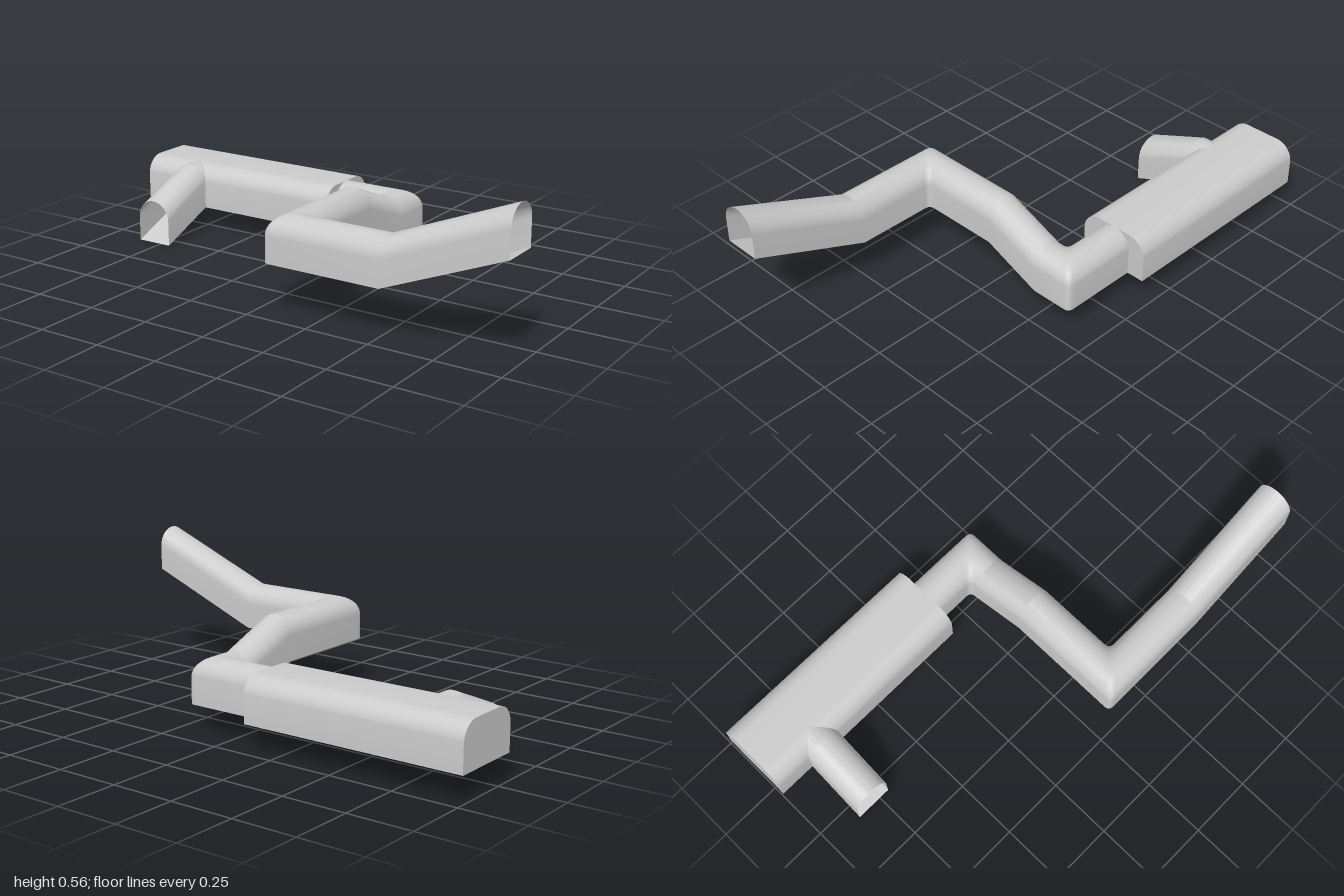
import * as THREE from 'three';
import { toCreasedNormals } from 'three/addons/utils/BufferGeometryUtils.js';

const WALL = 0.1, RADIUS = 0.0735;      // wall height and vault radius
const material = new THREE.MeshStandardMaterial({ color: 0xcccccc, side: THREE.DoubleSide });

// Flat floor, straight walls, round shoulders; a half-width equal to RADIUS gives a full arch
function archSection(halfWidth) {
  const flat = halfWidth - RADIUS, pts = [[-halfWidth, 0]], n = 12;
  for (const side of [-1, 1]) {
    for (let i = 0; i <= n; i++) {
      if (side === 1 && i === 0 && flat < 1e-6) continue;
      const a = (side === -1 ? i : n - i) / n * Math.PI / 2;
      pts.push([side * (flat + RADIUS * Math.cos(a)), WALL + RADIUS * Math.sin(a)]);
    }
  }
  pts.push([halfWidth, 0]);
  return pts;
}

// Upright cross-sections along the path, mitred in plan with slightly eased corners
function pathRings(path) {
  const rings = [];
  const heading = i => new THREE.Vector3(path[i + 1][0] - path[i][0], 0, path[i + 1][2] - path[i][2]).normalize();
  path.forEach((p, i) => {
    const point = new THREE.Vector3(...p);
    const dIn = heading(Math.max(i - 1, 0));
    const dOut = heading(Math.min(i, path.length - 2));
    const across = new THREE.Vector3(-dIn.z - dOut.z, 0, dIn.x + dOut.x).divideScalar(1 + dIn.dot(dOut));
    const steps = dIn.dot(dOut) < 0.99 ? 8 : 0, ease = 0.025;
    for (let k = 0; k <= steps; k++) {
      const centre = point.clone();
      if (steps) {
        const t = k / steps;
        centre.addScaledVector(dIn, -ease * (1 - t) ** 2).addScaledVector(dOut, ease * t ** 2);
      }
      rings.push({ centre, across });
    }
  });
  return rings;
}

// Open-ended passage swept along a path of floor centre points
function passage(name, path) {
  const section = archSection(RADIUS), count = section.length;
  const rings = pathRings(path), position = [], index = [];
  rings.forEach(({ centre, across }, i) => {
    section.forEach(([s, h], j) => {
      position.push(centre.x + across.x * s, centre.y + h, centre.z + across.z * s);
      if (i === rings.length - 1) return;
      const next = (j + 1) % count;
      const a = i * count + j, b = i * count + next;
      index.push(a, b, a + count, b, b + count, a + count);
    });
  });
  const geometry = new THREE.BufferGeometry();
  geometry.setAttribute('position', new THREE.Float32BufferAttribute(position, 3));
  geometry.setIndex(index);
  const mesh = new THREE.Mesh(toCreasedNormals(geometry, 0.36), material);
  mesh.name = name;
  return mesh;
}

export function createModel() {
  const model = new THREE.Group();
  model.name = 'tunnelSystem';

  // Long closed chamber with rounded shoulders
  const shape = new THREE.Shape(archSection(0.145).map(p => new THREE.Vector2(...p)));
  const hall = new THREE.ExtrudeGeometry(shape, { depth: 0.885, bevelEnabled: false });
  hall.rotateY(Math.PI / 2);
  const chamber = new THREE.Mesh(toCreasedNormals(hall, 0.36), material);
  chamber.name = 'chamber';
  chamber.position.set(-1, 0.1, -0.329);
  model.add(chamber);

  // Winding passage: out of the chamber, up a ramp, round a corner and up again
  model.add(passage('mainPassage', [
    [-0.115, 0.1, -0.329], [0.128, 0.1, -0.329], [0.128, 0.1, -0.23], [0.128, 0.196, 0.005],
    [0.128, 0.196, 0.4], [0.525, 0.196, 0.4], [1, 0.386, 0.4],
  ]));

  // Short side passage sloping down to the front
  model.add(passage('sidePassage', [
    [-0.78, 0.1, -0.26], [-0.78, 0.1, -0.182], [-0.78, 0.002, 0.06],
  ]));
  return model;
}
